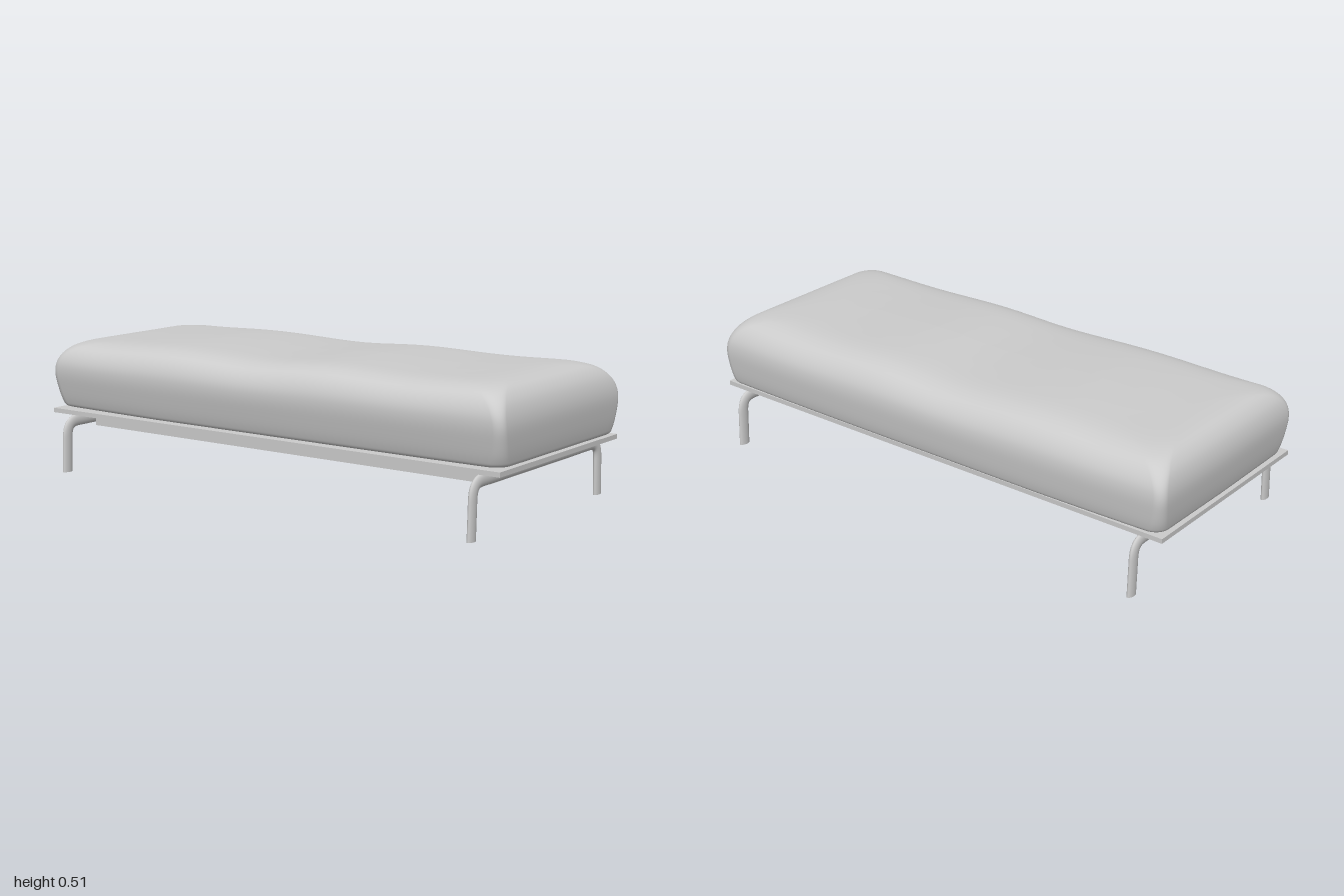
import * as THREE from 'three';

const material = new THREE.MeshStandardMaterial({ color: 0xcccccc, side: THREE.DoubleSide });

function addMesh(parent, geometry, name) {
  const mesh = new THREE.Mesh(geometry, material);
  mesh.name = name;
  parent.add(mesh);
  return mesh;
}

// Rounded rectangle in plan, running from +x towards +z
function ring(hx, hz, r) {
  const arcs = [[1, 1], [-1, 1], [-1, -1], [1, -1]].map(([sx, sz], q) =>
    Array.from({ length: 9 }, (_, i) => {
      const a = (q + i / 8) * Math.PI / 2;
      return new THREE.Vector2(sx * (hx - r) + r * Math.cos(a), sz * (hz - r) + r * Math.sin(a));
    }));
  const points = [];
  arcs.forEach((arc, q) => {
    points.push(...arc);
    const next = arcs[(q + 1) % 4][0];
    const n = q % 2 ? 48 : 16;
    for (let i = 1; i < n; i++) points.push(arc[8].clone().lerp(next, i / n));
  });
  return points;
}

// Soft cushion: rounded plan rings stacked along a side profile, then gently deformed
function cushionGeometry() {
  // half width, height, half length
  const profile = new THREE.CatmullRomCurve3([
    [0, 0.236, 0.6], [0.3, 0.236, 0.9], [0.385, 0.236, 0.975], [0.398, 0.242, 0.985],
    [0.405, 0.26, 0.99], [0.415, 0.31, 0.997], [0.422, 0.37, 1], [0.418, 0.41, 0.994],
    [0.402, 0.445, 0.98], [0.375, 0.473, 0.957], [0.335, 0.49, 0.928], [0.28, 0.5, 0.88],
    [0.18, 0.505, 0.8], [0.08, 0.507, 0.7], [0, 0.508, 0.6],
  ].map(p => new THREE.Vector3(...p)));
  const positions = [], index = [];
  const rows = profile.getPoints(70);
  let count = 0;
  for (const { x, y, z } of rows) {
    const hx = Math.max(x, 0);
    const points = ring(hx, z, Math.min(hx, 0.035 + (0.422 - hx) * 0.6));
    count = points.length;
    const t = THREE.MathUtils.clamp((y - 0.236) / 0.272, 0, 1);
    for (const p of points) {
      const bulge = 0.98 + 0.02 * (1 - p.y ** 4);
      const lean = 0.016 * (1 - t) * (hx / 0.4);
      const wave = 0.004 * Math.cos(p.y * 9 - 2.2) - 0.005 * Math.exp(-((p.y / 0.18) ** 2))
        - 0.003 * Math.sin(p.x * 7 + p.y * 4) * Math.abs(p.x);
      const lift = 0.008 * (1 - t) * Math.max(0, -p.y - 0.5) * (Math.abs(p.x) / 0.4);
      positions.push(p.x * bulge + lean + 0.002, y + wave * t * t + lift, p.y);
    }
  }
  for (let j = 0; j < rows.length - 1; j++) {
    for (let i = 0; i < count; i++) {
      const a = j * count + i, b = j * count + (i + 1) % count;
      index.push(a, a + count, b, b, a + count, b + count);
    }
  }
  const geometry = new THREE.BufferGeometry();
  geometry.setAttribute('position', new THREE.Float32BufferAttribute(positions, 3));
  geometry.setIndex(index);
  geometry.computeVertexNormals();
  return geometry;
}

function rectangle(target, hx, hz) {
  target.moveTo(-hx, -hz);
  target.lineTo(hx, -hz);
  target.lineTo(hx, hz);
  target.lineTo(-hx, hz);
  target.closePath();
  return target;
}

// One bent tube makes two legs and the crossbar between them
function legFrame(name, z) {
  const group = new THREE.Group();
  group.name = name;
  const v = (x, y) => new THREE.Vector3(x, y, 0);
  const path = new THREE.CurvePath();
  path.add(new THREE.LineCurve3(v(-0.431, 0), v(-0.426, 0.135)));
  path.add(new THREE.CubicBezierCurve3(v(-0.426, 0.135), v(-0.424, 0.178), v(-0.407, 0.194), v(-0.365, 0.194)));
  path.add(new THREE.LineCurve3(v(-0.365, 0.194), v(0.365, 0.194)));
  path.add(new THREE.CubicBezierCurve3(v(0.365, 0.194), v(0.407, 0.194), v(0.424, 0.178), v(0.426, 0.135)));
  path.add(new THREE.LineCurve3(v(0.426, 0.135), v(0.431, 0)));
  const flatten = 0.48;
  addMesh(group, new THREE.TubeGeometry(path, 140, 0.023, 24).scale(1, 1, flatten), 'legTube');
  for (const side of [-1, 1]) {
    const foot = new THREE.CircleGeometry(0.023, 24).rotateX(Math.PI / 2).scale(1, 1, flatten);
    addMesh(group, foot, 'footCap').position.set(side * 0.431, 0.0005, 0);
  }
  group.position.z = z;
  return group;
}

export function createModel() {
  const model = new THREE.Group();
  model.name = 'daybed';

  addMesh(model, cushionGeometry(), 'cushion');

  // Thin platform under the cushion
  const platform = addMesh(model, new THREE.BoxGeometry(0.81, 0.017, 1.99), 'platform');
  platform.position.set(0.003, 0.2255, 0);

  // Open rectangular rim below the platform
  const rim = rectangle(new THREE.Shape(), 0.282, 0.888);
  rim.holes.push(rectangle(new THREE.Path(), 0.255, 0.861));
  const rimGeometry = new THREE.ExtrudeGeometry(rim, { depth: 0.058, bevelEnabled: false });
  rimGeometry.rotateX(-Math.PI / 2);
  addMesh(model, rimGeometry, 'underframe').position.y = 0.16;

  model.add(legFrame('frontLegs', 0.91), legFrame('backLegs', -0.9));
  return model;
}
